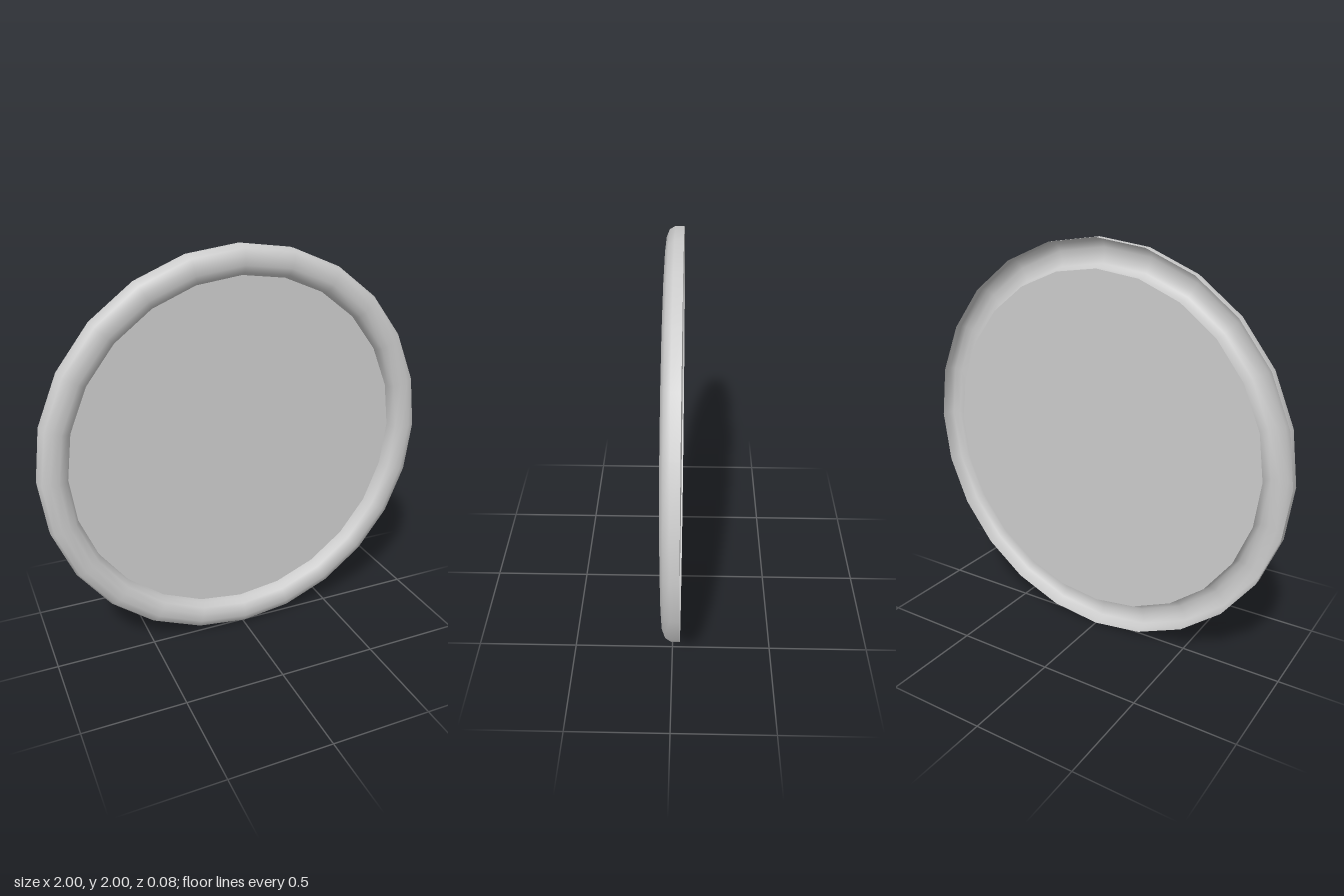
import * as THREE from 'three';

const SEGMENTS = 24;

export function createModel() {
  const group = new THREE.Group();
  const material = new THREE.MeshStandardMaterial({ color: 0xcccccc, side: THREE.DoubleSide });

  // Rounded rim, an open shell that is hollow at the back: [radius, depth]
  const profile = [
    [1, -0.04], [1, 0], [0.985, 0.026], [0.95, 0.04],
    [0.91, 0.04], [0.877, 0.026], [0.862, 0], [0.86, -0.032],
  ].map(([r, z]) => new THREE.Vector2(r, z));
  const rimGeometry = new THREE.LatheGeometry(profile, SEGMENTS);
  rimGeometry.rotateX(Math.PI / 2);
  const rim = new THREE.Mesh(rimGeometry, material);
  rim.name = 'rim';

  // Flat panel closing the rim near its back
  const panelGeometry = new THREE.CircleGeometry(0.86, SEGMENTS);
  const panel = new THREE.Mesh(panelGeometry, material);
  panel.name = 'panel';
  panel.position.z = -0.032;

  for (const part of [rim, panel]) {
    part.position.y = 1;
    group.add(part);
  }
  return group;
}
